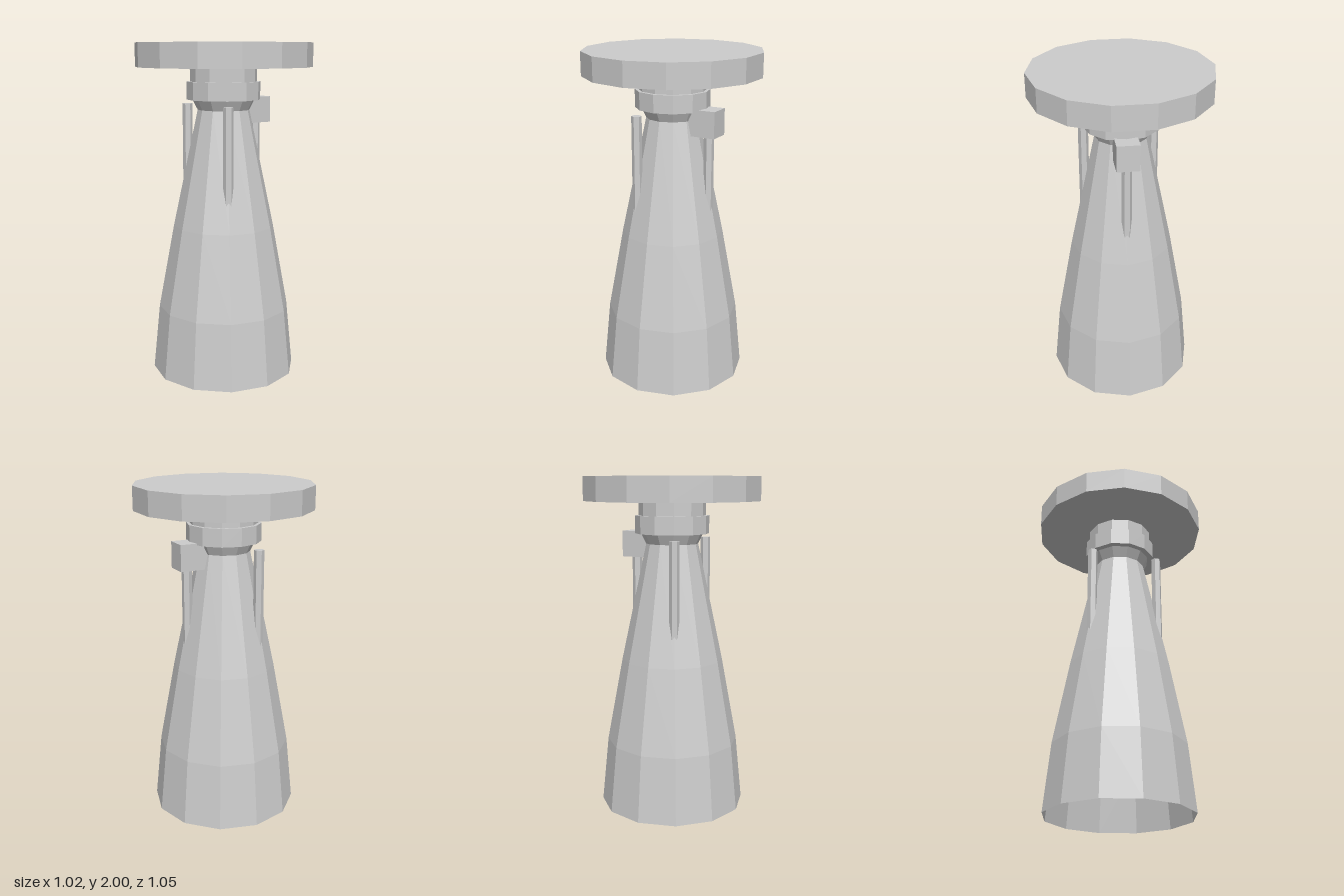
import * as THREE from 'three';

export function createModel() {
  const model = new THREE.Group();
  const grey = new THREE.MeshStandardMaterial({ color: 0xcccccc, flatShading: true, side: THREE.DoubleSide });
  grey.name = 'grey metal';

  const add = (name, geometry, x = 0, y = 0, z = 0) => {
    const mesh = new THREE.Mesh(geometry, grey);
    mesh.name = name;
    mesh.position.set(x, y, z);
    model.add(mesh);
  };
  // Upright prism between two heights
  const prism = (name, radius, sides, bottom, top, x = 0, z = 0) =>
    add(name, new THREE.CylinderGeometry(radius, radius, top - bottom, sides), x, (bottom + top) / 2, z);

  // Hollow nozzle bell, open at the bottom, flaring again above the throat
  const profile = [[0.44, 0], [0.4, 0.4], [0.305, 0.91], [0.155, 1.61], [0.185, 1.67]];
  add('nozzleBell', new THREE.LatheGeometry(profile.map(([r, y]) => new THREE.Vector2(r, y)), 12));

  // Collar, neck and mounting disc
  prism('collar', 0.22, 12, 1.67, 1.775);
  prism('neck', 0.2, 12, 1.775, 1.86);
  prism('mountingDisc', 0.525, 14, 1.86, 2);

  // Three hexagonal pipes running down into the bell
  for (let i = 0; i < 3; i++) {
    const angle = (i * Math.PI * 2) / 3;
    prism('pipe', 0.03, 6, 1.05, 1.64, 0.24 * Math.cos(angle), 0.24 * Math.sin(angle));
  }

  // Control box on the left pipe
  add('controlBox', new THREE.BoxGeometry(0.185, 0.155, 0.132), 0.2125, 1.6025, 0);

  return model;
}
